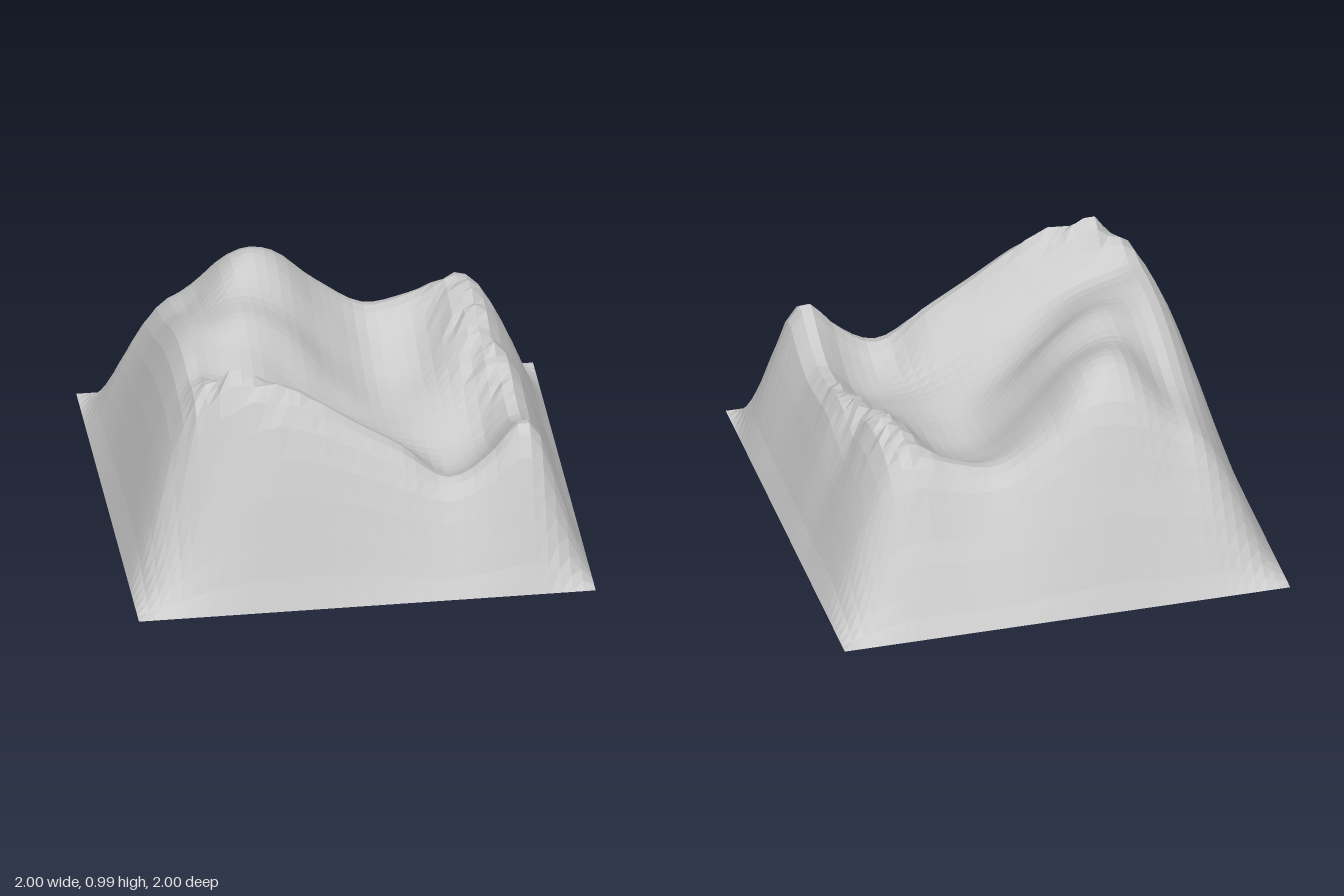
import * as THREE from 'three';

// Coarse heights: rows run back to front (z -0.8 to 0.8), columns x -0.8 to 0.8
const ROWS = [
  [.58, .60, .68, .72, .63, .50, .48, .52, .48],
  [.62, .70, .87, .88, .71, .58, .62, .70, .64],
  [.70, .74, .93, .89, .68, .51, .53, .72, .70],
  [.80, .81, .90, .81, .60, .44, .47, .66, .66],
  [.88, .86, .90, .78, .56, .42, .45, .57, .74],
  [.92, .86, .82, .66, .51, .43, .42, .48, .72],
  [.92, .84, .78, .67, .57, .46, .38, .44, .70],
  [.82, .92, .93, .84, .70, .57, .40, .51, .80],
  [.50, .72, .88, .85, .74, .62, .52, .67, .95],
];

// Smooth curve through evenly spaced values
function spline(values, t) {
  t = THREE.MathUtils.clamp(t, 0, values.length - 1);
  const i = Math.min(Math.floor(t), values.length - 2), f = t - i;
  const at = k => values[THREE.MathUtils.clamp(k, 0, values.length - 1)];
  const [a, b, c, d] = [at(i - 1), at(i), at(i + 1), at(i + 2)];
  return b + 0.5 * f * (c - a + f * (2 * a - 5 * b + 4 * c - d + f * (3 * (b - c) + d - a)));
}

// Steep fall to zero at the border
function edge(v) {
  const d = Math.max(0, 1 - Math.abs(v));
  return Math.pow(Math.sin(Math.PI / 2 * Math.min(1, d / 0.36)), 1.2);
}

// Repeatable roughness from -1 to 1
function rough(i) {
  const s = Math.sin(i * 127.1 + 11.7) * 43758.5453;
  return 2 * (s - Math.floor(s)) - 1;
}

function bump(x, z, cx, cz, rx, rz) {
  return Math.exp(-(((x - cx) / rx) ** 2) - ((z - cz) / rz) ** 2);
}

function height(x, z, i) {
  const u = (x + 0.8) / 0.2, v = (z + 0.8) / 0.2;
  const base = spline(ROWS.map(row => spline(row, u)), v);
  // jagged rock on the front left summit and along the slanting right-hand ridge
  const crag = bump(x, z, -0.55, 0.65, 0.28, 0.11) + bump(x, z, 0.68 + 0.13 * z, -0.2, 0.1, 0.4);
  const peak = 0.07 * bump(x, z, -0.5, 0.6, 0.07, 0.07) + 0.03 * bump(x, z, -0.3, -0.48, 0.15, 0.12);
  return Math.max(0, edge(x) * edge(z) * (base + peak + 0.035 * crag * rough(i)));
}

export function createModel() {
  const group = new THREE.Group();
  group.name = 'terrain';

  // Square grid sheet raised into hills around a valley
  const geometry = new THREE.PlaneGeometry(2, 2, 40, 40).rotateX(-Math.PI / 2);
  const p = geometry.attributes.position;
  for (let i = 0; i < p.count; i++) p.setY(i, height(p.getX(i), p.getZ(i), i));
  geometry.computeVertexNormals();

  const land = new THREE.Mesh(geometry, new THREE.MeshStandardMaterial({
    color: 0xcccccc, flatShading: true, side: THREE.DoubleSide,
  }));
  land.name = 'hillsAndValley';
  group.add(land);
  return group;
}
